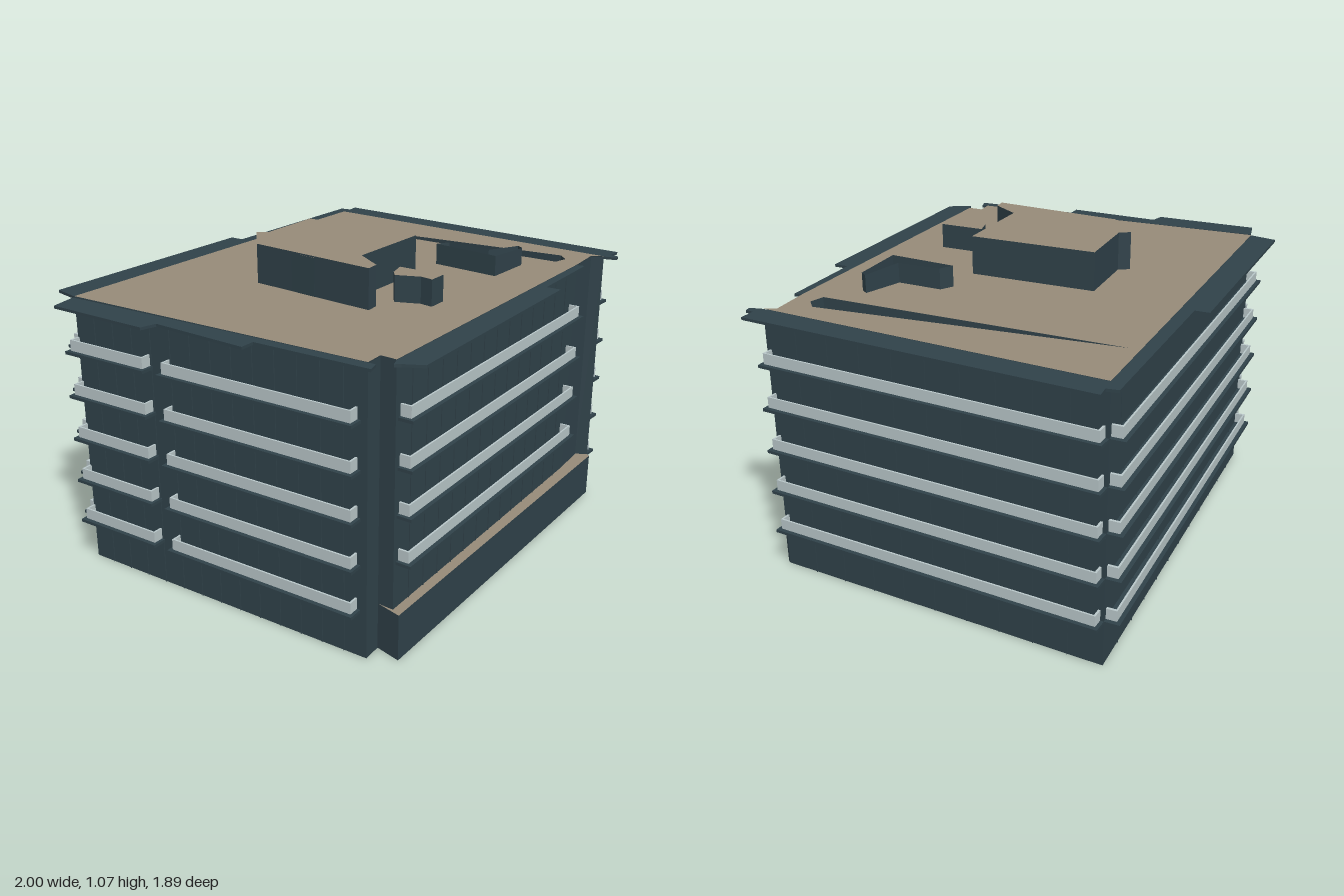
import * as THREE from 'three';

const dark = new THREE.MeshStandardMaterial({ name: 'slate cladding', color: 0x30424a, side: THREE.DoubleSide });
const tan = new THREE.MeshStandardMaterial({ name: 'roof gravel', color: 0x978b79, side: THREE.DoubleSide });
const pale = new THREE.MeshStandardMaterial({ name: 'pale railing', color: 0xb9c7c9, side: THREE.DoubleSide });

// Plan outlines are lists of [x, z]
const makeShape = (pts) => new THREE.Shape(pts.map(([x, z]) => new THREE.Vector2(x, -z)));

function add(parent, name, geometry, material) {
  const mesh = new THREE.Mesh(geometry, material);
  mesh.name = name;
  parent.add(mesh);
  return mesh;
}

// Solid plan outline raised from y0 to y1
function prism(parent, name, pts, y0, y1, material) {
  const g = new THREE.ExtrudeGeometry(makeShape(pts), { depth: y1 - y0, bevelEnabled: false });
  g.rotateX(-Math.PI / 2).translate(0, y0, 0);
  return add(parent, name, g, material);
}

// Flat plan surface with optional holes
function plate(parent, name, pts, y, material, holes = []) {
  const s = makeShape(pts);
  s.holes = holes.map(makeShape);
  return add(parent, name, new THREE.ShapeGeometry(s).rotateX(-Math.PI / 2).translate(0, y, 0), material);
}

// Closed ring of upright walls; the top may be a rule of x
function wallRing(parent, name, pts, y0, top) {
  const height = typeof top === 'function' ? top : () => top;
  const pos = [];
  pts.forEach(([ax, az], i) => {
    const [bx, bz] = pts[(i + 1) % pts.length];
    const at = height(ax), bt = height(bx);
    pos.push(ax, y0, az, bx, y0, bz, bx, bt, bz, ax, y0, az, bx, bt, bz, ax, at, az);
  });
  const g = new THREE.BufferGeometry();
  g.setAttribute('position', new THREE.Float32BufferAttribute(pos, 3));
  g.computeVertexNormals();
  return add(parent, name, g, dark);
}

// Point at fraction f along a facade, pushed outward by d
function along([[ax, az], [bx, bz]], f, d) {
  const dx = bx - ax, dz = bz - az, len = Math.hypot(dx, dz);
  return [ax + dx * f - (dz / len) * d, az + dz * f + (dx / len) * d];
}

const west = [-0.93, 0.0], north = [0.27, -0.89], east = [0.92, 0.11];
const southA = [-0.25, 0.87], southIn = [-0.2, 0.83], southB = [-0.17, 0.875];
const eastIn = [0.88, 0.09], eastB = [0.77, 0.18];
const facades = {
  southWest: [west, southA],
  southEast: [southB, eastB],
  northEast: [east, north],
  northWest: [north, west],
};
const levels = [0.15, 0.3, 0.452, 0.603, 0.755];

// Balcony: slab plus a U-shaped railing
function balcony(parent, edge, f0, f1, y) {
  const p = (f, d) => along(edge, f, d);
  prism(parent, 'balconySlab', [p(f0, 0), p(f0, 0.05), p(f1, 0.05), p(f1, 0)], y, y + 0.01, dark);
  const e = 0.006, a = f0 + 0.01, b = f1 - 0.01;
  prism(parent, 'balconyRailing', [
    p(a, 0), p(a, 0.036), p(b, 0.036), p(b, 0),
    p(b - e, 0), p(b - e, 0.03), p(a + e, 0.03), p(a + e, 0),
  ], y + 0.01, y + 0.047, pale);
}

export function createModel() {
  const model = new THREE.Group();
  model.name = 'officeBuilding';

  // Walls: upper storeys, and a ground floor that projects on one side
  const annexA = [-0.165, 0.91], annexB = [0.92, 0.125];
  const upper = [west, southA, southIn, southB, eastB, eastIn, east, north];
  wallRing(model, 'upperWalls', upper, 0.155, 0.935);
  wallRing(model, 'groundFloorWalls', [west, southA, southIn, annexA, annexB, east, north], 0, 0.155);
  plate(model, 'groundFloorLedge', [southIn, annexA, annexB, east, eastIn, eastB, southB], 0.155, tan);

  // Main roof with a light shaft and a sunken terrace
  const shaft = [[0.31, 0.01], [0.36, 0.005], [0.45, 0.135], [0.585, 0.09], [0.585, 0.12], [0.435, 0.22]];
  const terrace = [[0.1, -0.72], [0.2, -0.84], [0.78, 0.05], [0.77, 0.1], [0.72, 0.12]];
  plate(model, 'mainRoof', upper, 0.938, tan, [shaft, terrace]);
  wallRing(model, 'lightShaftWalls', shaft, 0.935, (x) => (x < 0.4 ? 1.01 : 1.01 - (x - 0.4) * 0.06));
  wallRing(model, 'terraceWalls', terrace, 0.79, 0.938);
  plate(model, 'terraceFloor', terrace, 0.79, tan);

  // Roof overhangs
  const eaves = {
    northWest: [west, [-0.97, -0.09], [-0.28, -0.6], [-0.25, -0.56], [0.28, -0.95], [0.31, -0.92], north],
    northEast: [north, [0.34, -0.95], [1.0, 0.07], [0.955, 0.1], [0.97, 0.125], [0.955, 0.14], east],
    southEast: [southB, [-0.19, 0.905], [-0.17, 0.91], [-0.11, 0.94], [0.57, 0.43], [0.54, 0.39], [0.79, 0.2], eastB],
    southWest: [[-0.935, 0.01], [-1.0, 0.08], [-0.78, 0.38], [-0.73, 0.36], [-0.54, 0.64], [-0.5, 0.61],
      [-0.26, 0.92], [-0.235, 0.89], southA],
  };
  for (const [side, pts] of Object.entries(eaves)) prism(model, side + 'Eave', pts, 0.928, 0.937, dark);

  // Balconies on every storey
  const spans = {
    southWest: [[-0.01, 0.29], [0.34, 0.98]],
    southEast: [[0.01, 0.98]],
    northEast: [[0.0, 1.0]],
    northWest: [[0.0, 1.0]],
  };
  for (const [side, list] of Object.entries(spans)) {
    const group = new THREE.Group();
    group.name = side + 'Balconies';
    model.add(group);
    levels.forEach((y, i) => {
      if (side === 'southEast' && i === 0) return;
      for (const [f0, f1] of list) balcony(group, facades[side], f0, f1, y);
    });
  }

  // Slim vertical joints between cladding panels
  const joints = { southWest: 14, southEast: 14, northEast: 10, northWest: 12 };
  for (const [side, n] of Object.entries(joints)) {
    for (let i = 1; i < n; i++) {
      const p = (o, d) => along(facades[side], i / n + o, d);
      prism(model, side + 'PanelJoint', [p(-0.001, 0), p(-0.001, 0.003), p(0.001, 0.003), p(0.001, 0)],
        side === 'southEast' ? 0.155 : 0, 0.93, dark);
    }
  }

  // Rooftop plant rooms
  prism(model, 'penthouse', [[-0.07, -0.255], [0.195, 0.1], [-0.065, 0.29], [-0.06, 0.41], [-0.095, 0.44],
    [-0.34, 0.04], [-0.3, -0.12], [-0.26, -0.105]], 0.935, 1.07, [tan, dark]);
  prism(model, 'penthousePorch', [[-0.29, 0.12], [-0.185, 0.22], [-0.21, 0.255]], 0.935, 1.065, [tan, dark]);
  prism(model, 'roofHut', [[0.06, 0.3], [0.155, 0.43], [0.1, 0.47], [0.08, 0.43], [0.01, 0.385], [0.02, 0.35]],
    0.935, 1.025, [tan, dark]);

  return model;
}
